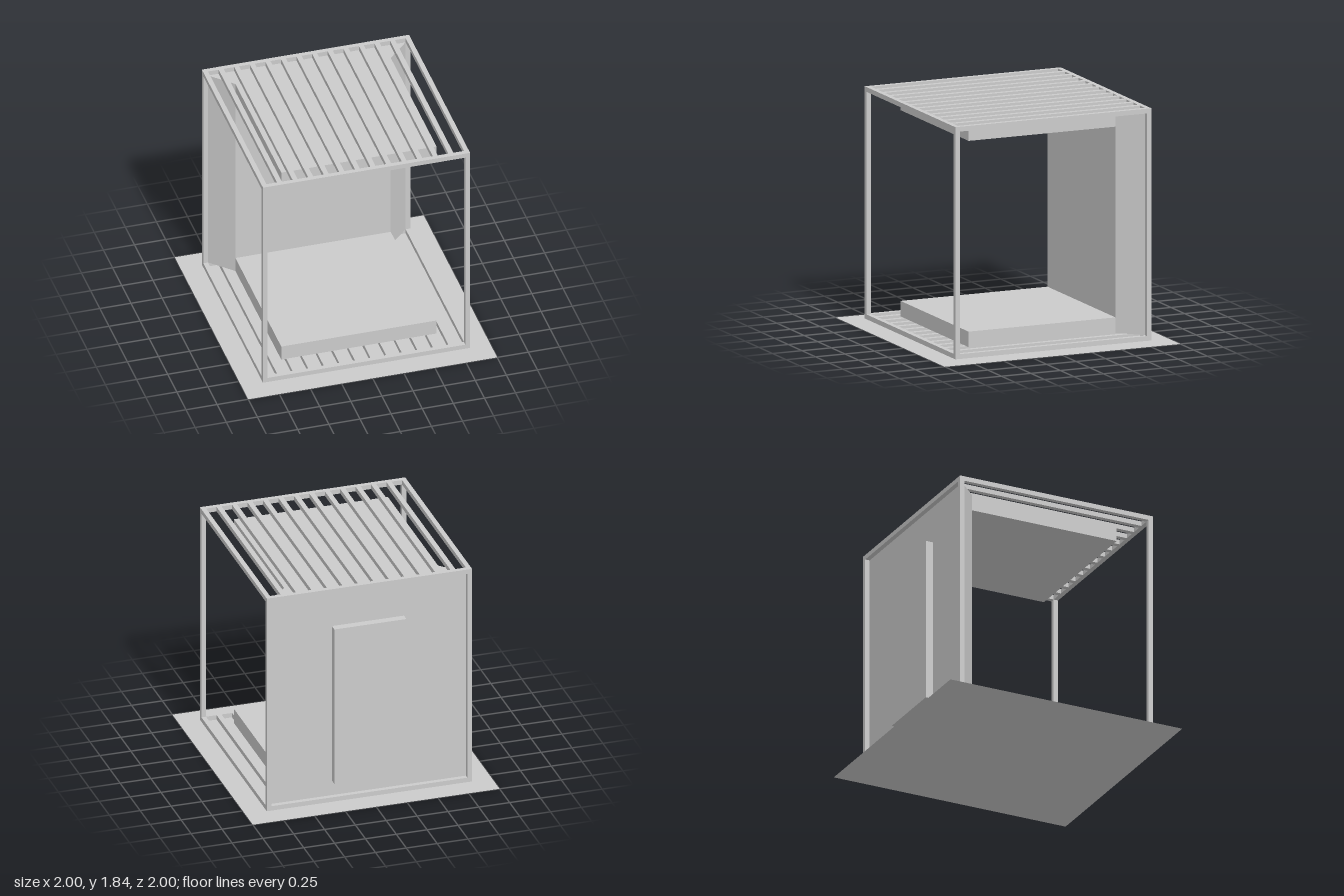
import * as THREE from 'three';

const OUT = 0.832, IN = 0.794, T = OUT - IN; // frame half sizes and bar thickness
const Y0 = 0.01, Y1 = 1.84;                  // frame bottom and top
const LOW = Y0 + T, HIGH = Y1 - T;           // clear interior height
const CORE = 0.624;                          // half size of platform and ceiling

const grey = new THREE.MeshStandardMaterial({ color: 0xcccccc, flatShading: true, side: THREE.DoubleSide });

function add(group, name, geometry, x = 0, y = 0, z = 0) {
  const mesh = new THREE.Mesh(geometry, grey);
  mesh.name = name;
  mesh.position.set(x, y, z);
  group.add(mesh);
  return mesh;
}

function box(group, name, w, y0, y1, d, x = 0, z = 0) {
  return add(group, name, new THREE.BoxGeometry(w, y1 - y0, d), x, (y0 + y1) / 2, z);
}

// Vertical prism from a plan outline given in x and -z
function prism(shape, height) {
  return new THREE.ExtrudeGeometry(shape, { depth: height, bevelEnabled: false }).rotateX(-Math.PI / 2);
}

// Square frame with evenly spaced slats, made as one plate with slots
function slattedPlate() {
  const shape = new THREE.Shape([[-OUT, -OUT], [OUT, -OUT], [OUT, OUT], [-OUT, OUT]]
    .map(([x, y]) => new THREE.Vector2(x, y)));
  const slots = 13, slat = 0.04;
  const w = (2 * IN - (slots - 1) * slat) / slots;
  for (let i = 0; i < slots; i++) {
    const a = -IN + i * (w + slat);
    shape.holes.push(new THREE.Path([[a, -IN], [a, IN], [a + w, IN], [a + w, -IN]]
      .map(([x, y]) => new THREE.Vector2(x, y))));
  }
  return prism(shape, T);
}

export function createModel() {
  const model = new THREE.Group();
  model.name = 'slattedPavilion';

  // Ground sheet
  add(model, 'ground', new THREE.PlaneGeometry(2, 2).rotateX(-Math.PI / 2));

  // Slatted floor and roof
  add(model, 'slattedFloor', slattedPlate(), 0, Y0, 0);
  add(model, 'slattedRoof', slattedPlate(), 0, HIGH, 0);

  // Corner posts
  const c = (OUT + IN) / 2;
  for (const x of [-c, c]) for (const z of [-c, c]) box(model, 'cornerPost', T, LOW, HIGH, T, x, z);

  // Raised platform and lowered ceiling
  box(model, 'platform', 2 * CORE, LOW, 0.17, 2 * CORE);
  box(model, 'ceiling', 2 * CORE, 1.673, HIGH, 2 * CORE);

  // Thick back wall, with sides that splay outwards to the rear
  const wall = new THREE.Shape([[-CORE, CORE], [CORE, CORE], [IN, IN], [-IN, IN]]
    .map(([x, y]) => new THREE.Vector2(x, y)));
  add(model, 'backWall', prism(wall, HIGH - LOW), 0, LOW, 0);

  // Door panel on the rear face
  box(model, 'rearPanel', 0.584, 0.173, 1.503, 0.062, 0, -IN - 0.031);

  return model;
}
